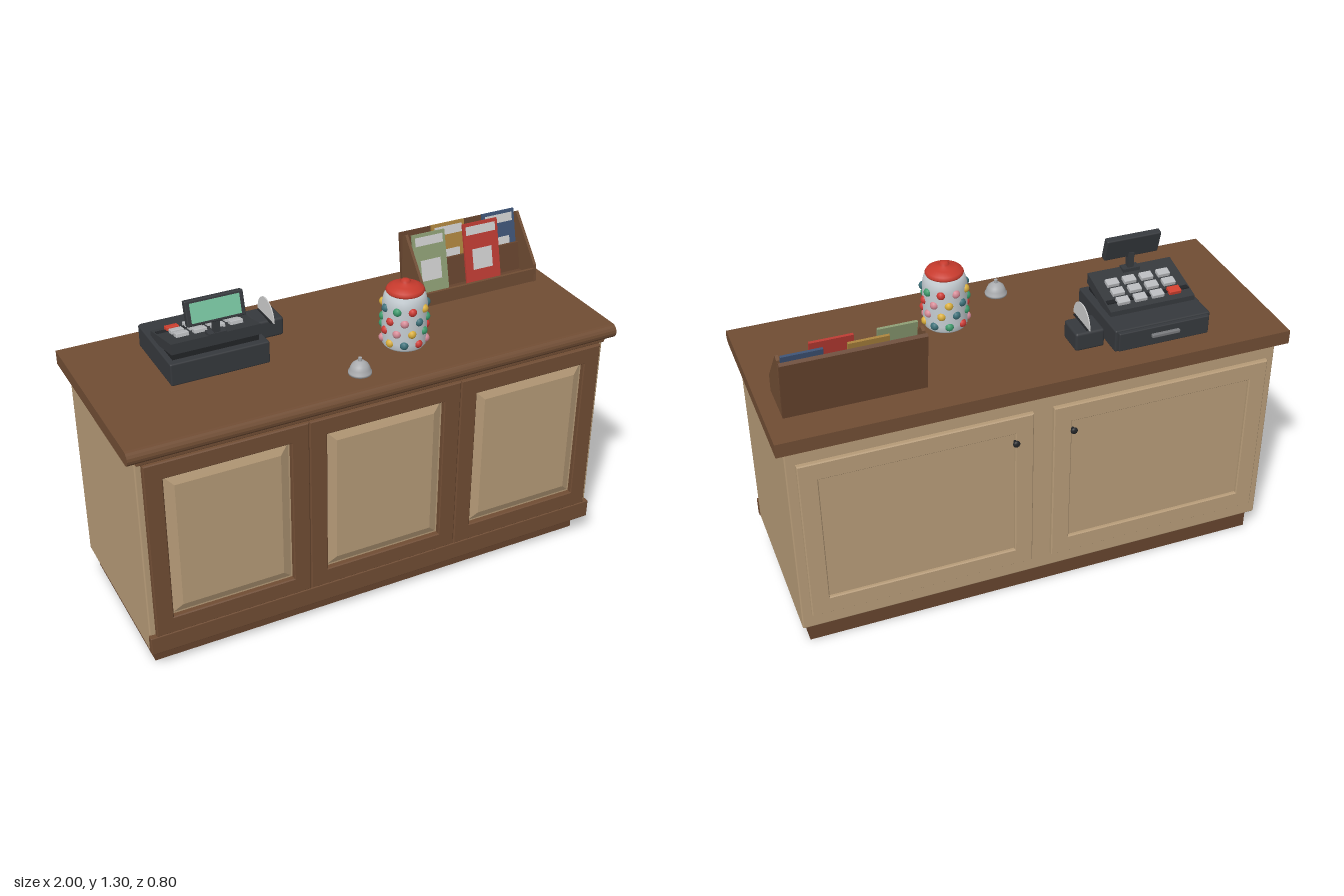
import * as THREE from 'three';
import { RoundedBoxGeometry } from 'three/addons/geometries/RoundedBoxGeometry.js';

const WOOD = 0x6f4c33, DARKWOOD = 0x65432d, TAN = 0xb59a77, BLACK = 0x35383c, INK = 0x222427, WHITE = 0xd8d8d4;

function add(parent, name, geometry, color, x = 0, y = 0, z = 0, doubleSide = false) {
  const mat = new THREE.MeshStandardMaterial({ color });
  if (doubleSide) mat.side = THREE.DoubleSide;
  const m = new THREE.Mesh(geometry, mat);
  m.name = name;
  m.position.set(x, y, z);
  parent.add(m);
  return m;
}

// Box given by its limits, with softly rounded edges when r > 0
function box(parent, name, color, [x0, x1], [y0, y1], [z0, z1], r = 0) {
  const s = [x1 - x0, y1 - y0, z1 - z0];
  const g = r ? new RoundedBoxGeometry(...s, 2, r) : new THREE.BoxGeometry(...s);
  return add(parent, name, g, color, (x0 + x1) / 2, (y0 + y1) / 2, (z0 + z1) / 2);
}

// Side profile of (z, y) points extruded from x0 to x1
function profile(parent, name, color, pts, x0, x1) {
  const g = new THREE.ExtrudeGeometry(new THREE.Shape(pts.map(p => new THREE.Vector2(...p))),
    { depth: x1 - x0, bevelEnabled: false });
  g.rotateY(-Math.PI / 2);
  return add(parent, name, g, color, x1);
}

function rect(path, x0, x1, y0, y1) {
  path.moveTo(x0, y0); path.lineTo(x1, y0); path.lineTo(x1, y1); path.lineTo(x0, y1); path.closePath();
  return path;
}

// Rectangular frame with a window, facing +z
function frame(parent, name, color, outer, inner, z, depth) {
  const s = rect(new THREE.Shape(), ...outer);
  s.holes.push(rect(new THREE.Path(), ...inner));
  const b = 0.004;
  const g = new THREE.ExtrudeGeometry(s, { depth: depth - 2 * b, bevelThickness: b, bevelSize: b, bevelOffset: -b, bevelSegments: 1 });
  return add(parent, name, g, color, 0, 0, z + b);
}

// Panel whose front face is drawn in to leave a sloping border
function raisedPanel(parent, x0, x1, y0, y1) {
  const m = box(parent, 'raisedPanel', TAN, [x0, x1], [y0, y1], [0.358, 0.376]);
  const w = x1 - x0, h = y1 - y0, inset = 0.04;
  const g = m.geometry.toNonIndexed(), p = g.attributes.position;
  for (let i = 0; i < p.count; i++) if (p.getZ(i) > 0) {
    p.setX(i, Math.sign(p.getX(i)) * (w / 2 - inset));
    p.setY(i, Math.sign(p.getY(i)) * (h / 2 - inset));
  }
  g.computeVertexNormals();
  m.geometry = g;
}

function lathe(parent, name, color, pts, x, y, z) {
  return add(parent, name, new THREE.LatheGeometry(pts.map(p => new THREE.Vector2(...p)), 32), color, x, y, z, true);
}

function group(parent, name) {
  const g = new THREE.Group();
  g.name = name;
  parent.add(g);
  return g;
}

function buildCabinet(root) {
  const c = group(root, 'cabinet');
  box(c, 'plinth', DARKWOOD, [-0.94, 0.94], [0, 0.086], [-0.333, 0.317]);
  box(c, 'body', TAN, [-0.967, 0.967], [0.085, 0.94], [-0.355, 0.36], 0.006);
  box(c, 'bottomRail', WOOD, [-0.97, 0.97], [0.087, 0.165], [0.355, 0.382], 0.004);
  box(c, 'topMoulding', WOOD, [-0.965, 0.965], [0.925, 0.94], [0.355, 0.377], 0.004);

  // Countertop with a rounded nose at the front
  const nose = [];
  for (let i = 0; i <= 8; i++) {
    const a = -Math.PI / 2 + i / 8 * Math.PI;
    nose.push([0.372 + 0.028 * Math.cos(a), 0.968 + 0.028 * Math.sin(a)]);
  }
  profile(c, 'countertop', WOOD, [[-0.395, 0.94], ...nose, [-0.395, 0.996]], -1, 1);

  // Three framed panels across the front
  for (const i of [-1, 0, 1]) {
    const x = i * 0.63;
    frame(c, 'frontFrame', WOOD, [x - 0.314, x + 0.314, 0.165, 0.92], [x - 0.244, x + 0.244, 0.237, 0.85], 0.357, 0.025);
    raisedPanel(c, x - 0.243, x + 0.243, 0.238, 0.849);
  }

  // Two back doors with recessed panels and knobs
  for (const s of [-1, 1]) {
    const d = group(c, s > 0 ? 'leftDoor' : 'rightDoor');
    const mid = s * 0.485;
    frame(d, 'doorFrame', TAN, [mid - 0.445, mid + 0.445, 0.155, 0.865], [mid - 0.372, mid + 0.372, 0.23, 0.79], -0.376, 0.022);
    box(d, 'doorPanel', TAN, [mid - 0.373, mid + 0.373], [0.229, 0.791], [-0.363, -0.354]);
    const stem = add(d, 'knobStem', new THREE.CylinderGeometry(0.006, 0.009, 0.024, 16), INK, s * 0.115, 0.757, -0.383);
    stem.rotation.x = Math.PI / 2;
    add(d, 'knob', new THREE.SphereGeometry(0.014, 20, 14), INK, s * 0.115, 0.757, -0.391).scale.z = 0.65;
  }
}

function buildRegister(root) {
  const r = group(root, 'cashRegister');
  box(r, 'base', BLACK, [-0.705, -0.315], [0.996, 1.086], [-0.29, 0.05], 0.006);
  box(r, 'drawerFront', BLACK, [-0.695, -0.325], [1.004, 1.08], [-0.305, -0.285], 0.004);
  box(r, 'drawerHandle', 0x77797c, [-0.57, -0.455], [1.04, 1.055], [-0.318, -0.303], 0.004);
  box(r, 'riser', INK, [-0.685, -0.345], [1.085, 1.12], [-0.15, 0.02]);
  profile(r, 'keyDeck', BLACK, [[-0.19, 1.085], [-0.1, 1.086], [0.03, 1.113], [0.03, 1.156], [-0.19, 1.106]], -0.69, -0.34);

  // Keys follow the slope of the deck
  const slope = Math.atan(0.05 / 0.22);
  for (let row = 0; row < 3; row++) for (let col = 0; col < 4; col++) {
    const z = -0.15 + row * 0.05, y = 1.106 + (z + 0.19) * 0.05 / 0.22;
    const first = row === 0 && col === 0;
    const k = add(r, 'key', new RoundedBoxGeometry(0.05, 0.02, 0.034, 2, 0.003), first ? 0xd0402f : 0xb8babd, -0.62 + col * 0.071, y + 0.005, z);
    k.rotation.x = -slope;
  }

  // Customer display tilted back on its post
  box(r, 'displayPost', BLACK, [-0.522, -0.498], [1.13, 1.225], [0.003, 0.028]);
  box(r, 'postFoot', BLACK, [-0.545, -0.475], [1.135, 1.162], [-0.005, 0.032]);
  const d = group(r, 'display');
  d.position.set(-0.512, 1.255, 0.013);
  d.rotation.x = -0.26;
  box(d, 'displayCase', BLACK, [-0.113, 0.113], [-0.048, 0.048], [-0.014, 0.014], 0.005);
  box(d, 'screen', 0x78c4a0, [-0.096, 0.096], [-0.037, 0.037], [0.012, 0.017]);
}

function buildPrinter(root) {
  const p = group(root, 'receiptPrinter');
  box(p, 'printerCase', BLACK, [-0.297, -0.18], [0.996, 1.072], [-0.237, -0.122], 0.01);
  box(p, 'paperSlot', INK, [-0.245, -0.227], [1.07, 1.075], [-0.225, -0.1]);
  const paper = [];
  for (let i = 0; i <= 16; i++) {
    const a = i / 16 * Math.PI;
    paper.push([-0.16 + 0.075 * Math.cos(a), 1.074 + 0.075 * Math.sin(a)]);
  }
  profile(p, 'paper', WHITE, paper, -0.238, -0.234);
}

function buildBell(root) {
  const b = group(root, 'serviceBell');
  lathe(b, 'bellDome', 0xa9abae, [[0, 0], [0.044, 0], [0.044, 0.008], [0.039, 0.012], [0.038, 0.022], [0.031, 0.037], [0.018, 0.048], [0, 0.052]].reverse(), -0.053, 0.996, 0.265);
  add(b, 'bellButton', new THREE.CylinderGeometry(0.007, 0.007, 0.016, 16), 0xa9abae, -0.053, 1.053, 0.265);
}

function buildJar(root) {
  const j = group(root, 'candyJar'), x = 0.202, z = 0.135;
  lathe(j, 'jarGlass', 0xc3cbd0, [[0, 0], [0.078, 0], [0.084, 0.008], [0.086, 0.03], [0.086, 0.175], [0.08, 0.205], [0.068, 0.222], [0, 0.224]], x, 0.996, z);
  lathe(j, 'jarLid', 0xc63a2d, [[0, 0], [0.07, 0], [0.074, 0.008], [0.068, 0.018], [0.045, 0.03], [0.018, 0.035], [0.02, 0.043], [0.012, 0.05], [0, 0.051]], x, 1.213, z);
  // Staggered rings of sweets
  const colors = [0xcc3a34, 0xd9ae3c, 0x3d9a6c, 0xd48a96, 0x3b6f78];
  for (let row = 0; row < 4; row++) for (let i = 0; i < 9; i++) {
    const a = (i + (row % 2) / 2) / 9 * Math.PI * 2 + 0.2;
    add(j, 'sweet', new THREE.SphereGeometry(0.017, 12, 8), colors[(i * 3 + row * 2) % 5],
      x + 0.081 * Math.sin(a), 1.025 + row * 0.046, z + 0.081 * Math.cos(a));
  }
}

function buildRack(root) {
  const k = group(root, 'leafletRack');
  const side = [[-0.25, 0.996], [-0.07, 0.996], [-0.077, 1.068], [-0.232, 1.245], [-0.252, 1.235]];
  profile(k, 'rackSide', WOOD, side, 0.405, 0.417);
  profile(k, 'rackSide', WOOD, side, 0.923, 0.935);
  box(k, 'rackFloor', DARKWOOD, [0.41, 0.93], [0.996, 1.008], [-0.25, -0.075]);
  box(k, 'rackLip', WOOD, [0.41, 0.93], [0.996, 1.052], [-0.085, -0.073]);
  profile(k, 'rackBack', DARKWOOD, [[-0.255, 0.996], [-0.238, 0.996], [-0.276, 1.24], [-0.288, 1.232]], 0.405, 0.935);
  profile(k, 'rackDivider', DARKWOOD, [[-0.185, 1.0], [-0.175, 1.0], [-0.2, 1.12], [-0.21, 1.12]], 0.417, 0.923);

  // Leaflets lean back: two in the front row, two behind
  const leaflets = [[0.417, 0.565, -0.145, 0x8a9a72], [0.65, 0.81, -0.145, 0xb83a32], [0.535, 0.685, -0.195, 0xa8813c], [0.772, 0.922, -0.195, 0x3d5274]];
  for (const [x0, x1, z, color] of leaflets) {
    const l = group(k, 'leaflet'), w = (x1 - x0) / 2;
    l.position.set((x0 + x1) / 2, 1.005, z);
    l.rotation.x = -0.24;
    box(l, 'cover', color, [-w, w], [0, 0.253], [-0.005, 0.005]);
    box(l, 'titleStrip', WHITE, [-w + 0.012, w - 0.012], [0.205, 0.24], [0.004, 0.007]);
    box(l, 'pictureBlock', WHITE, [-0.045, 0.045], [0.06, 0.145], [0.004, 0.007]);
  }
}

export function createModel() {
  const root = new THREE.Group();
  root.name = 'shopCounter';
  for (const build of [buildCabinet, buildRegister, buildPrinter, buildBell, buildJar, buildRack]) build(root);
  return root;
}
